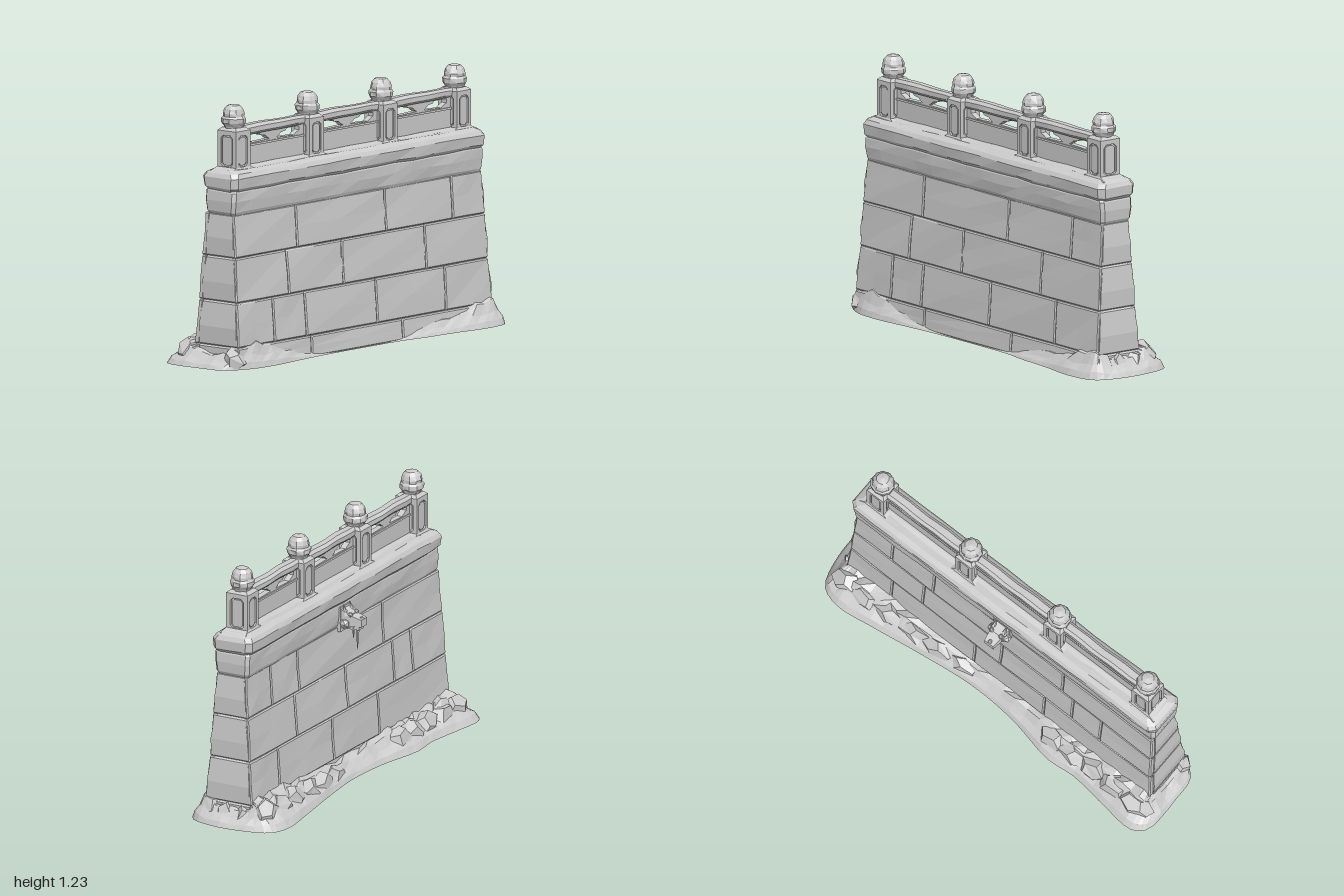
import * as THREE from 'three';

const stone = new THREE.MeshStandardMaterial({ color: 0xcccccc, side: THREE.DoubleSide });
stone.name = 'grey stone';

// Smooth repeatable wobble, about -1..1
const wob = (x, y, z) => Math.sin(17 * x + 29 * y + 5) * Math.sin(23 * z - 13 * y + 7 * x + 1);
const { lerp, clamp } = THREE.MathUtils;

function flat(geo) {
  const g = geo.index ? geo.toNonIndexed() : geo;
  g.computeVertexNormals();
  return g;
}

function add(parent, name, geo) {
  const m = new THREE.Mesh(flat(geo), stone);
  m.name = name;
  parent.add(m);
  return m;
}

// Move every vertex by a rule
function warp(geo, rule) {
  const p = geo.attributes.position;
  for (let i = 0; i < p.count; i++) p.setXYZ(i, ...rule(p.getX(i), p.getY(i), p.getZ(i)));
  return geo;
}

// Stack of rectangular sections [y, halfX, zBack, zFront]; worn stones get clipped corners
function stack(rings, nx = 1, rough = 0, clip = 0) {
  const n = rings.length - 1;
  return warp(new THREE.BoxGeometry(1, 1, 1, nx, n, clip ? 3 : 1), (u, v, w) => {
    const [y, hx, z0, z1] = rings[Math.round((v + 0.5) * n)];
    let x = u * 2 * hx, z = w > 0 ? z1 : z0;
    if (Math.abs(w) < 0.499) z += w > 0 ? -clip : clip;
    else if (Math.abs(u) > 0.499) x -= Math.sign(u) * clip;
    return [x, y + rough * wob(x, y, z), z + rough * wob(x * 1.3, y + 2, z)];
  });
}

const box = (w, h, d, x, y, z) => new THREE.BoxGeometry(w, h, d).translate(x, y, z);
const poly = pts => new THREE.Shape(pts.map(p => new THREE.Vector2(...p)));
const ZC = 0.04; // centre line of the balustrade

// Wall section at each course line: [y, halfX, zBack, zFront]
const PROFILE = [
  [0, 0.925, -0.1, 0.18], [0.1, 0.916, -0.088, 0.17], [0.31, 0.906, -0.075, 0.155],
  [0.52, 0.9, -0.058, 0.138], [0.725, 0.892, -0.045, 0.124],
];
const FRONT_JOINTS = [[-0.39, 0.265], [-0.65, -0.42, 0.09, 0.585], [-0.53, -0.135, 0.46], [-0.45, 0.19, 0.67]];
const BACK_JOINTS = [[], [-0.27, 0.15, 0.65], [-0.6, -0.43, 0, 0.47], [-0.36, 0.42, 0.67]];

// One facing stone with bevelled outer edges
function block(lo, hi, a, b, side) {
  return warp(new THREE.BoxGeometry(1, 1, 1, 4, 4, 1), (u, v, w) => {
    const iu = Math.round((u + 0.5) * 4), iv = Math.round((v + 0.5) * 4);
    const ease = (i, len) => [0, 0.006 / len, 0.5, 1 - 0.006 / len, 1][i];
    const t = ease(iv, hi[0] - lo[0]);
    const y = lo[0] + 0.001 + t * (hi[0] - lo[0] - 0.002);
    const hw = lerp(lo[1], hi[1], t);
    const x0 = a === null ? -hw : a + 0.001, x1 = b === null ? hw : b - 0.001;
    let x = x0 + (x1 - x0) * ease(iu, x1 - x0);
    const rimY = iv === 0 || iv === 4, rim = rimY || iu === 0 || iu === 4;
    if (rimY && Math.abs(x) > 0.87) x -= Math.sign(x) * 0.005;
    let z = side > 0 ? lerp(lo[3], hi[3], t) : lerp(lo[2], hi[2], t) + 0.01 * x;
    if (w * side > 0) z += 0.003 * wob(x, y, side) - (rim ? 0.005 * side : 0);
    else z -= 0.024 * side;
    return [x, y, z];
  });
}

function wall(root) {
  const g = new THREE.Group();
  g.name = 'wall';
  root.add(g);
  // Hollow backing whose ends show as stones with grooves between the courses
  const rings = [[0.05, 0.915, -0.07, 0.155]];
  PROFILE.slice(1).forEach(([y, x, b, f], i) => {
    for (const [dy, inset] of [[-0.007, 0], [0, 0.01], [0.007, 0], [0.09, -0.004]])
      if (i < 3 || dy <= 0) rings.push([y + dy, x - inset, b + 0.02, f - 0.01]);
  });
  const n = rings.length - 1;
  add(g, 'wallCore', warp(new THREE.CylinderGeometry(1, 1, 1, 4, n, true).rotateY(Math.PI / 4), (u, v, w) => {
    const [y, hx, z0, z1] = rings[Math.round((v + 0.5) * n)];
    return [Math.sign(u) * hx, y, w > 0 ? z1 : z0];
  }));
  for (let i = 0; i < 4; i++) {
    // The lowest course only faces the front; the hollow foot behind it is open
    for (const side of i ? [1, -1] : [1]) {
      const cuts = [null, ...(side > 0 ? FRONT_JOINTS : BACK_JOINTS)[i], null];
      for (let k = 0; k < cuts.length - 1; k++)
        add(g, 'wallStone', block(PROFILE[i], PROFILE[i + 1], cuts[k], cuts[k + 1], side));
    }
  }
  add(g, 'corniceBand', stack([[0.72, 0.89, -0.042, 0.122], [0.735, 0.898, -0.048, 0.128],
    [0.785, 0.903, -0.052, 0.134], [0.828, 0.9, -0.052, 0.134], [0.84, 0.893, -0.046, 0.128]], 14, 0.003, 0.015));
  add(g, 'copingStone', stack([[0.834, 0.897, -0.052, 0.132], [0.848, 0.908, -0.066, 0.143],
    [0.895, 0.911, -0.07, 0.147], [0.915, 0.9, -0.058, 0.134], [0.93, 0.872, -0.034, 0.11]], 14, 0.003, 0.025));
}

// Raised frame with a chamfered opening and a raised inner panel
function postFace(parent, width, turn, reach) {
  const oct = (w, y0, y1, c) => [[-w, y0 + c], [-w + c, y0], [w - c, y0], [w, y0 + c],
    [w, y1 - c], [w - c, y1], [-w + c, y1], [-w, y1 - c]];
  const frame = poly([[-width, 0.92], [width, 0.92], [width, 1.105], [-width, 1.105]]);
  const w = width * 0.62;
  frame.holes.push(poly(oct(w, 0.94, 1.088, 0.014)));
  const opt = { depth: 0.01, bevelEnabled: false };
  const place = (geo, d) => geo.translate(0, 0, d).rotateY(turn);
  add(parent, 'postFrame', place(new THREE.ExtrudeGeometry(frame, opt), reach - 0.01));
  add(parent, 'postPanel', place(new THREE.ExtrudeGeometry(poly(oct(w - 0.007, 0.947, 1.081, 0.012)), opt), reach - 0.014));
}

function post(root, x) {
  const g = new THREE.Group();
  g.name = 'post';
  g.position.set(x, 0, ZC);
  root.add(g);
  add(g, 'postFoot', stack([[0.9, 0.1, -0.075, 0.075], [0.922, 0.088, -0.068, 0.068], [0.938, 0.052, -0.058, 0.058]]));
  add(g, 'postCore', box(0.082, 0.19, 0.098, 0, 1.01, 0));
  for (const k of [0, 1]) {
    postFace(g, 0.051, k * Math.PI, 0.058);
    postFace(g, 0.058, (k + 0.5) * Math.PI, 0.051);
  }
  add(g, 'postCap', stack([[1.1, 0.051, -0.058, 0.058], [1.11, 0.051, -0.058, 0.058], [1.124, 0.036, -0.042, 0.042]]));
  const outline = [[0.042, 1.118], [0.046, 1.13], [0.057, 1.146], [0.058, 1.166], [0.051, 1.176],
    [0.052, 1.19], [0.045, 1.21], [0.03, 1.227], [0, 1.233]];
  const finial = new THREE.LatheGeometry(outline.map(p => new THREE.Vector2(...p)), 10);
  add(g, 'finial', warp(finial, (a, y, c) => {
    const s = 1 + 0.05 * wob(a * 4 + x, y * 3, c * 4);
    return [a * s, y, c * s];
  }));
}

function railing(root, a, b) {
  const g = new THREE.Group();
  g.name = 'railing';
  g.position.set((a + b) / 2, 0, ZC);
  root.add(g);
  const h = (b - a) / 2 - 0.04;
  // Solid lower panel with a pair of scalloped openings around a bracket
  const panel = poly([[-h, 0.92], [h, 0.92], [h, 1.1], [-h, 1.1]]);
  for (const s of [-1, 1])
    panel.holes.push(poly([[0.025, 1.041], [0.15, 1.037], [0.165, 1.047], [0.188, 1.057], [0.188, 1.076],
      [0.1, 1.076], [0.09, 1.066], [0.055, 1.061], [0.042, 1.05]].map(([x, y]) => [s * x, y])));
  add(g, 'railPanel', new THREE.ExtrudeGeometry(panel, { depth: 0.03, bevelEnabled: false }).translate(0, 0, -0.015));
  add(g, 'panelMoulding', box(2 * h, 0.01, 0.04, 0, 1.028, 0));
  add(g, 'bottomRail', stack([[0.91, h, -0.05, 0.05], [0.928, h, -0.045, 0.045], [0.938, h, -0.022, 0.022]], 4, 0.002));
  add(g, 'topRail', stack([[1.08, h, -0.022, 0.022], [1.09, h, -0.03, 0.03], [1.112, h, -0.03, 0.03],
    [1.125, h, -0.016, 0.016]], 8, 0.003));
}

// Outline of the rubble bank round the foot: [x, z, height], anticlockwise from above
const BANK = [
  [-0.98, 0.13, 0.07], [-0.86, 0.2, 0.12], [-0.7, 0.215, 0.1], [-0.5, 0.2, 0.055], [-0.3, 0.187, 0.015],
  [0, 0.184, 0.008], [0.25, 0.19, 0.018], [0.4, 0.21, 0.05], [0.6, 0.225, 0.07], [0.8, 0.25, 0.11],
  [0.95, 0.22, 0.12], [0.995, 0.1, 0.09], [0.995, -0.05, 0.085], [0.95, -0.2, 0.12], [0.85, -0.24, 0.13],
  [0.65, -0.22, 0.12], [0.4, -0.185, 0.11], [0.1, -0.155, 0.08], [-0.15, -0.17, 0.09], [-0.4, -0.22, 0.12],
  [-0.55, -0.21, 0.11], [-0.75, -0.235, 0.13], [-0.92, -0.25, 0.13], [-0.985, -0.2, 0.1], [-0.995, 0, 0.07],
];

function bank(root) {
  const curve = new THREE.CatmullRomCurve3(BANK.map(([x, z, h]) => new THREE.Vector3(x, h, z)), true);
  const steps = [[0, 0], [0.13, 0.27], [0.4, 0.55], [0.65, 0.9], [1, 1.02]]; // [inward, rise]
  add(root, 'rubbleBank', warp(new THREE.PlaneGeometry(1, 1, 84, 4), (u, v) => {
    const p = curve.getPoint((u + 0.5) % 1);
    const [s, r] = steps[Math.round((v + 0.5) * 4)];
    const ix = clamp(p.x, -0.9, 0.9), iz = clamp(p.z, -0.07, 0.15);
    const x = p.x + (ix - p.x) * s, z = p.z + (iz - p.z) * s;
    return [x, p.y * r * (1 + 0.18 * wob(x * 2, r, z * 2)), z];
  }));
  // Half-buried angular boulders: [x, y, z, rx, ry, rz]
  [[-0.87, 0.05, -0.15, 0.1, 0.085, 0.06], [-0.74, 0.04, -0.14, 0.1, 0.085, 0.06], [-0.61, 0.04, -0.135, 0.09, 0.085, 0.055],
    [-0.49, 0.035, -0.135, 0.09, 0.08, 0.055], [-0.37, 0.035, -0.135, 0.09, 0.085, 0.055], [0.2, 0.02, -0.11, 0.1, 0.07, 0.035],
    [0.34, 0.03, -0.12, 0.1, 0.08, 0.045], [0.48, 0.035, -0.125, 0.1, 0.085, 0.05], [0.62, 0.04, -0.13, 0.1, 0.085, 0.055],
    [0.75, 0.045, -0.135, 0.09, 0.085, 0.055], [0.87, 0.05, -0.13, 0.085, 0.09, 0.06], [0.9, 0.04, 0.14, 0.065, 0.085, 0.06],
    [0.91, 0.03, 0.06, 0.06, 0.075, 0.05], [0.91, 0.03, -0.04, 0.055, 0.07, 0.05], [-0.9, 0.03, 0.14, 0.06, 0.08, 0.055],
  ].forEach(([x, y, z, rx, ry, rz], i) => {
    const rock = new THREE.DodecahedronGeometry(1).rotateY(i * 1.7).rotateX(i * 0.9);
    add(root, 'boulder', warp(rock, (a, b, c) => {
      const s = 1 + 0.12 * wob(a + i, b, c);
      return [x + a * s * rx, Math.max(y + b * s * ry, 0.004), z + c * s * rz];
    }));
  });
}

// Carved beast-head water spout on the back
function spout(root) {
  const g = new THREE.Group();
  g.name = 'waterSpout';
  root.add(g);
  add(g, 'spoutPlate', box(0.1, 0.12, 0.03, 0, 0.76, -0.046));
  const taper = (w0, h0, w1, h1, y0, y1, z0, z1) =>
    warp(new THREE.BoxGeometry(1, 1, 1), (u, v, w) => w > 0
      ? [u * w0, y0 + v * h0, z0] : [u * w1, y1 + v * h1, z1]);
  add(g, 'head', taper(0.09, 0.1, 0.07, 0.06, 0.765, 0.757, -0.05, -0.105));
  add(g, 'snout', taper(0.07, 0.055, 0.052, 0.036, 0.757, 0.75, -0.1, -0.16));
  add(g, 'jaw', taper(0.06, 0.03, 0.045, 0.016, 0.73, 0.722, -0.085, -0.145));
  add(g, 'nose', new THREE.IcosahedronGeometry(0.015, 0).translate(0, 0.764, -0.148));
  for (const s of [-1, 1]) {
    add(g, 'horn', new THREE.ConeGeometry(0.016, 0.055, 5).rotateX(0.4).translate(s * 0.03, 0.806, -0.075));
    add(g, 'eye', new THREE.IcosahedronGeometry(0.014, 0).translate(s * 0.028, 0.786, -0.102));
    add(g, 'cheek', new THREE.IcosahedronGeometry(0.026, 0).translate(s * 0.04, 0.742, -0.078));
  }
  add(g, 'icicle', new THREE.ConeGeometry(0.012, 0.13, 6).rotateX(Math.PI).translate(0, 0.665, -0.125));
  add(g, 'icicle', new THREE.ConeGeometry(0.009, 0.06, 5).rotateX(Math.PI).translate(0.02, 0.695, -0.115));
}

export function createModel() {
  const root = new THREE.Group();
  root.name = 'stoneParapetWall';
  wall(root);
  const posts = [-0.795, -0.265, 0.265, 0.795];
  posts.forEach((x, i) => {
    post(root, x);
    if (i) railing(root, posts[i - 1], x);
  });
  bank(root);
  spout(root);
  return root;
}
